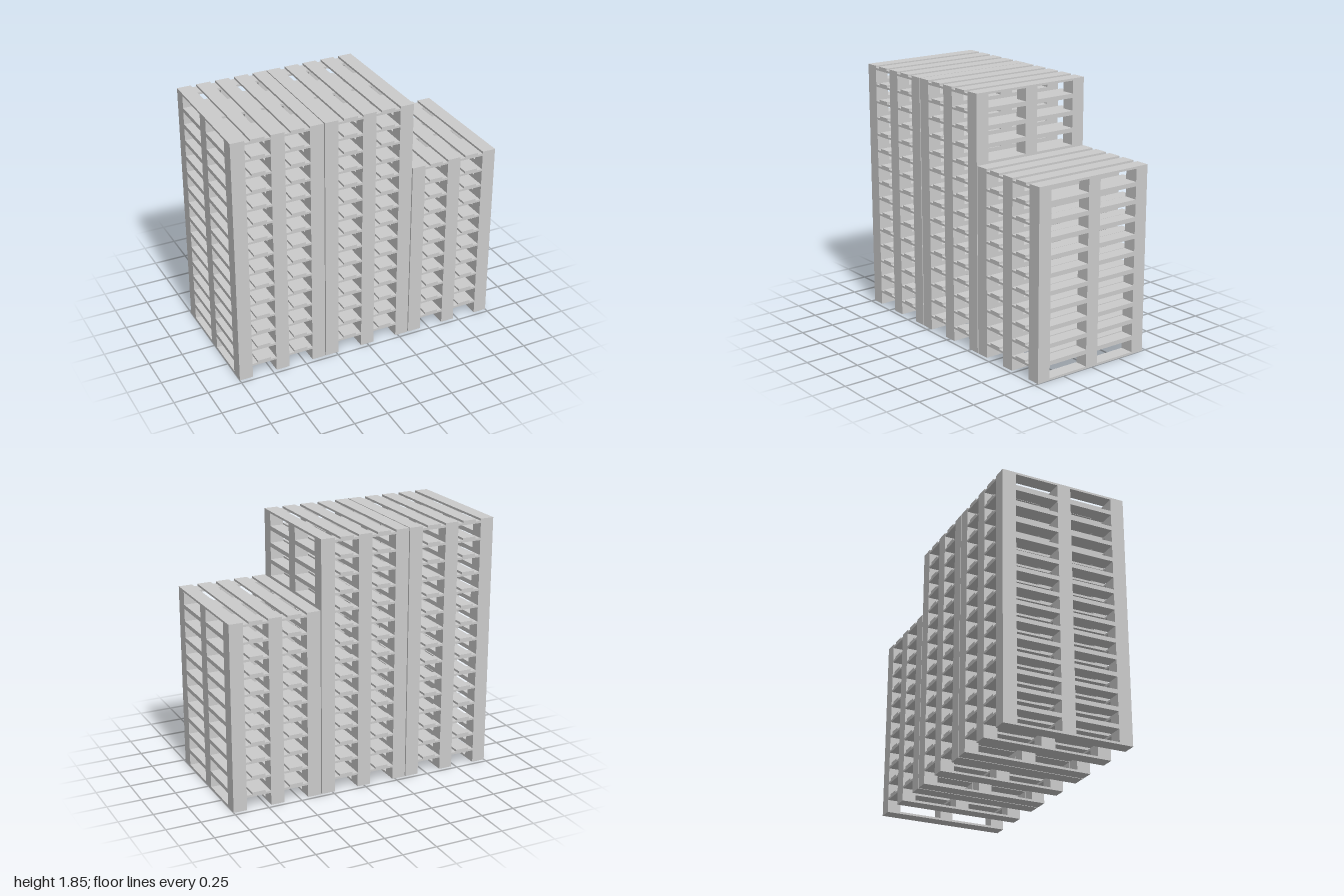
import * as THREE from 'three';
import { mergeGeometries } from 'three/addons/utils/BufferGeometryUtils.js';

const W = 0.662, D = 0.938;      // pallet width (x) and depth (z)
const H = 1.85 / 15;             // pallet height
const T = 0.0155;                // board thickness
const B = 0.1;                   // board and block width

// Box standing on height y
function box(w, h, d, x, y, z) {
  return new THREE.BoxGeometry(w, h, d).translate(x, y + h / 2, z);
}

// n evenly spaced board centres across a span, end boards flush with the edges
function spread(n, span) {
  return Array.from({ length: n }, (_, i) => (i / (n - 1) - 0.5) * (span - B));
}

export function createModel() {
  const model = new THREE.Group();
  model.name = 'palletStacks';
  const material = new THREE.MeshStandardMaterial({ color: 0xcccccc, flatShading: true });

  const xs = spread(3, W), zs = spread(3, D);
  const blockHeight = H - 3 * T;

  // Shared parts of one pallet
  const parts = {
    bottomBoards: mergeGeometries(xs.map(x => box(B, T, D, x, 0, 0))),
    blocks: mergeGeometries(xs.flatMap(x => zs.map(z => box(B, blockHeight, B, x, T, z)))),
    crossBoards: mergeGeometries(zs.map(z => box(W, T, B, 0, T + blockHeight, z))),
    deckBoards: mergeGeometries(spread(5, W).map(x => box(B, T, D, x, H - T, 0))),
  };

  function createPallet() {
    const pallet = new THREE.Group();
    pallet.name = 'pallet';
    for (const [name, geometry] of Object.entries(parts)) {
      const mesh = new THREE.Mesh(geometry, material);
      mesh.name = name;
      pallet.add(mesh);
    }
    return pallet;
  }

  // Two tall stacks and one shorter stack, side by side
  const stacks = [
    { name: 'rightStack', x: -0.669, count: 15 },
    { name: 'middleStack', x: 0, count: 15 },
    { name: 'leftStack', x: 0.669, count: 11 },
  ];
  for (const { name, x, count } of stacks) {
    const stack = new THREE.Group();
    stack.name = name;
    stack.position.x = x;
    for (let i = 0; i < count; i++) {
      const pallet = createPallet();
      pallet.position.y = i * H;
      stack.add(pallet);
    }
    model.add(stack);
  }
  return model;
}
